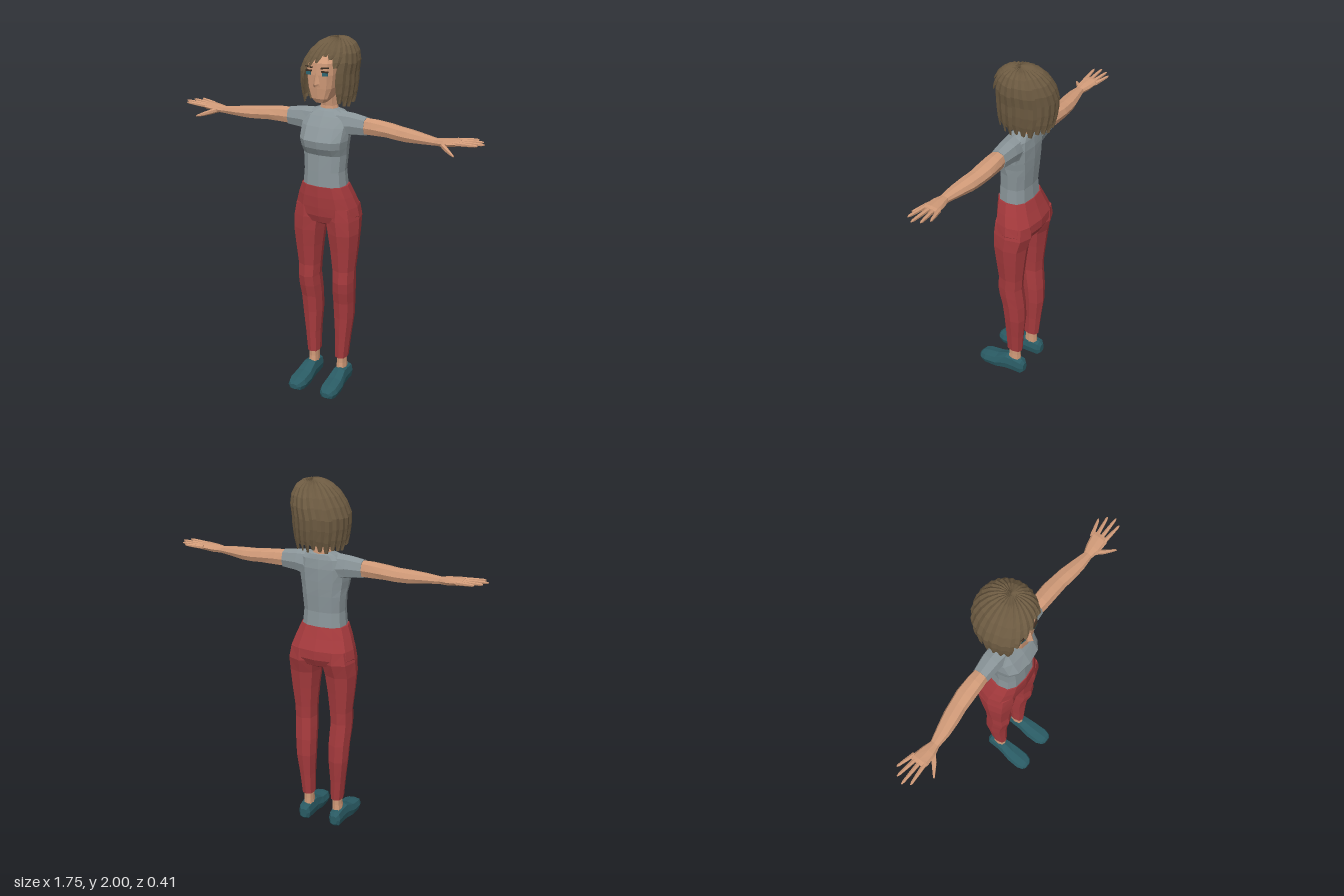
import * as THREE from 'three';

const mat = (name, color, extra = {}) => Object.assign(new THREE.MeshStandardMaterial({ color, ...extra }), { name });
const skin = mat('skin', 0xd09a78);
const shirtGrey = mat('shirtGrey', 0x8a9599);
const trouserRed = mat('trouserRed', 0xa53a3d);
const shoeTeal = mat('shoeTeal', 0x2a5b64);
const hairBrown = mat('hairBrown', 0x6c5a41, { side: THREE.DoubleSide });
const browBrown = mat('browBrown', 0x3a2d22);
const irisTeal = mat('irisTeal', 0x2f6672);

// Faceted geometry from a list of triangles' corner points
function faceted(points) {
  const g = new THREE.BufferGeometry().setFromPoints(points);
  g.computeVertexNormals();
  return g;
}

// Closed tube through sections [s, aMin, aMax, bMin, bMax] along an axis.
// (a, b) is (x, z) along y, (y, z) along x and (x, y) along z.
function loft(sections, { axis = 'y', n = 12, pow = 0.8, side = 1 } = {}) {
  const bulge = v => Math.sign(v) * Math.abs(v) ** pow;
  const place = (s, a, b) => {
    const p = axis === 'y' ? [a, s, b] : axis === 'x' ? [s, a, b] : [a, b, s];
    return new THREE.Vector3(p[0] * side, p[1], p[2]);
  };
  const rings = sections.map(([s, a0, a1, b0, b1]) => Array.from({ length: n }, (_, i) => {
    const t = (i / n) * Math.PI * 2;
    return place(s, (a0 + a1) / 2 + bulge(Math.cos(t)) * (a1 - a0) / 2, (b0 + b1) / 2 + bulge(Math.sin(t)) * (b1 - b0) / 2);
  }));
  const mid = ([s, a0, a1, b0, b1]) => place(s, (a0 + a1) / 2, (b0 + b1) / 2);
  const first = mid(sections[0]), last = mid(sections.at(-1)), end = rings.at(-1);
  const tris = [];
  for (let i = 0; i < n; i++) {
    const k = (i + 1) % n;
    for (let j = 0; j + 1 < rings.length; j++) {
      const p = rings[j], q = rings[j + 1];
      tris.push(p[i], p[k], q[i], q[i], p[k], q[k]);
    }
    tris.push(first, rings[0][k], rings[0][i], last, end[i], end[k]);
  }
  // Turn the faces outward if the enclosed volume is negative
  let volume = 0;
  for (let i = 0; i < tris.length; i += 3) volume += tris[i].dot(tris[i + 1].clone().cross(tris[i + 2]));
  return faceted(volume < 0 ? tris.reverse() : tris);
}

// Open sheet from rows of points
function sheet(rows) {
  const tris = [];
  for (let j = 0; j + 1 < rows.length; j++) {
    for (let i = 0; i + 1 < rows[j].length; i++) {
      const p = rows[j], q = rows[j + 1];
      tris.push(p[i], q[i], p[i + 1], p[i + 1], q[i], q[i + 1]);
    }
  }
  return faceted(tris);
}

// Hair length by angle around the head: 0 is the front, positive is the left
const hairEnds = [[-180, 1.67], [-120, 1.66], [-60, 1.67], [-47, 1.68], [-43, 1.78], [-25, 1.86], [0, 1.92],
  [20, 1.92], [41, 1.87], [46, 1.68], [60, 1.66], [120, 1.66], [180, 1.67]];
function hairEnd(deg) {
  const a = ((deg + 540) % 360) - 180;
  const i = Math.max(1, hairEnds.findIndex(e => e[0] >= a));
  const [p, q] = [hairEnds[i - 1], hairEnds[i]];
  return THREE.MathUtils.lerp(p[1], q[1], (a - p[0]) / (q[0] - p[0]));
}

// Point on the hair, t from the parting (0) to the tip (1)
function hairPoint(deg, t, r, end) {
  const a = THREE.MathUtils.degToRad(deg), H = Math.PI / 2, h = 0.18;
  const u = t * (end < 1.82 ? H + (1.82 - end) / h : Math.acos((end - 1.82) / h));
  const s = r * (u < H ? Math.sin(u) ** 0.85 : 1 - 0.17 * (u - H) ** 2);
  const y = u < H ? 1.82 + h * Math.cos(u) * r : 1.82 - (u - H) * h;
  return new THREE.Vector3(0.15 * s * Math.sin(a) + 0.05 * Math.max(0, Math.cos(u)), y, 0.17 * s * Math.cos(a) - 0.035);
}

export function createModel() {
  const model = new THREE.Group();
  model.name = 'woman';
  const add = (name, geometry, material, parent = model) => {
    const m = new THREE.Mesh(geometry, material);
    m.name = name;
    parent.add(m);
    return m;
  };

  // Shirt body
  add('shirt', loft([
    [1.2, -0.122, 0.122, -0.083, 0.095], [1.3, -0.113, 0.113, -0.075, 0.09], [1.39, -0.12, 0.12, -0.082, 0.085],
    [1.43, -0.125, 0.125, -0.085, 0.11], [1.47, -0.132, 0.132, -0.087, 0.118], [1.54, -0.135, 0.135, -0.088, 0.08],
    [1.59, -0.125, 0.125, -0.082, 0.045], [1.615, -0.085, 0.085, -0.075, 0.025], [1.625, -0.05, 0.05, -0.06, 0.01],
  ], { pow: 0.75 }), shirtGrey);

  // Hips
  add('hips', loft([
    [1.22, -0.13, 0.13, -0.087, 0.1], [1.16, -0.155, 0.155, -0.11, 0.1], [1.1, -0.176, 0.176, -0.135, 0.096],
    [1.05, -0.185, 0.185, -0.135, 0.09], [1.01, -0.165, 0.165, -0.115, 0.075], [0.985, -0.07, 0.07, -0.07, 0.03],
  ]), trouserRed);

  // Neck, head and nose
  add('neck', loft([[1.59, -0.06, 0.06, -0.075, 0.015], [1.64, -0.045, 0.045, -0.07, 0.01], [1.74, -0.045, 0.045, -0.07, 0.03]], { n: 8 }), skin);
  add('head', loft([
    [1.672, -0.028, 0.028, 0.02, 0.084], [1.695, -0.05, 0.05, -0.02, 0.098], [1.75, -0.072, 0.072, -0.1, 0.105],
    [1.82, -0.08, 0.08, -0.13, 0.11], [1.88, -0.082, 0.082, -0.14, 0.105], [1.94, -0.055, 0.055, -0.11, 0.06],
  ], { pow: 0.55 }), skin);
  add('nose', loft([[1.76, -0.02, 0.02, 0.09, 0.122], [1.775, -0.018, 0.018, 0.09, 0.13], [1.835, -0.009, 0.009, 0.09, 0.114]], { n: 4, pow: 1 }), skin);

  // Hair: an inner shell under overlapping pointed locks
  const hair = new THREE.Group();
  hair.name = 'hair';
  model.add(hair);
  const steps = n => Array.from({ length: n + 1 }, (_, i) => i / n);
  add('hairShell', sheet(steps(9).map(t => steps(72).map(f => hairPoint(f * 360, t, 0.93, hairEnd(f * 360) + 0.02)))), hairBrown, hair);
  const locks = 24;
  for (let i = 0; i < locks; i++) {
    const deg = (i + 0.5) * 360 / locks, end = hairEnd(deg) - (i % 3) * 0.008;
    add('hairLock', sheet(steps(8).map(t => {
      const w = 11 * (t > 0.8 ? 1 - (t - 0.8) * 3.2 : 1);
      return [[-w, 0.93], [w * 0.3, 1], [w, 0.97]].map(([d, r]) => hairPoint(deg + d, t, r, end));
    })), hairBrown, hair);
  }

  for (const side of [1, -1]) {
    const label = side > 0 ? 'left' : 'right';
    const limb = (name, sections, material, options = {}) =>
      add(label + name, loft(sections, { side, n: 8, ...options }), material);

    // Eye and brow plates
    const plate = (name, w, h, d, x, y, z, material, tilt = 0) => {
      const m = add(label + name, new THREE.BoxGeometry(w, h, d), material);
      m.position.set(side * x, y, z);
      m.rotation.set(0, side * 0.2, side * tilt);
    };
    plate('EyeLash', 0.036, 0.007, 0.009, 0.045, 1.84, 0.105, browBrown, -0.05);
    plate('Eye', 0.028, 0.018, 0.009, 0.047, 1.828, 0.104, irisTeal);
    plate('Brow', 0.042, 0.006, 0.009, 0.045, 1.859, 0.104, browBrown, 0.1);

    // Sleeve and arm
    limb('Sleeve', [[0.07, 1.47, 1.62, -0.075, 0.045], [0.14, 1.495, 1.615, -0.072, 0.037], [0.225, 1.503, 1.602, -0.06, 0.029]], shirtGrey, { axis: 'x' });
    limb('Arm', [
      [0.2, 1.508, 1.598, -0.055, 0.025], [0.27, 1.51, 1.597, -0.062, 0.03], [0.35, 1.513, 1.588, -0.064, 0.033],
      [0.41, 1.508, 1.58, -0.056, 0.034], [0.47, 1.508, 1.575, -0.048, 0.042], [0.55, 1.515, 1.566, -0.028, 0.047],
      [0.63, 1.52, 1.556, -0.006, 0.042],
    ], skin, { axis: 'x' });

    // Hand with four fingers and a thumb
    limb('Palm', [
      [0.62, 1.52, 1.556, -0.006, 0.042], [0.67, 1.522, 1.562, -0.022, 0.055],
      [0.73, 1.532, 1.566, -0.034, 0.058], [0.75, 1.542, 1.562, -0.03, 0.052],
    ], skin, { axis: 'x' });
    for (const [rootZ, tipX, tipZ] of [[-0.026, 0.82, -0.053], [-0.004, 0.855, -0.022], [0.018, 0.873, 0.018], [0.042, 0.85, 0.054]]) {
      const joint = (f, r) => {
        const x = THREE.MathUtils.lerp(0.72, tipX, f), z = THREE.MathUtils.lerp(rootZ, tipZ, f), y = 1.55 + 0.009 * f;
        return [x, y - r, y + r, z - r, z + r];
      };
      limb('Finger', [joint(0, 0.012), joint(0.55, 0.0095), joint(0.9, 0.007), joint(1, 0.003)], skin, { axis: 'x', n: 6, pow: 1 });
    }
    limb('Thumb', [
      [0.655, 1.522, 1.552, 0.015, 0.05], [0.69, 1.512, 1.54, 0.045, 0.08],
      [0.725, 1.504, 1.526, 0.078, 0.1], [0.752, 1.504, 1.512, 0.104, 0.115],
    ], skin, { axis: 'x', n: 6, pow: 1 });

    // Trouser leg
    limb('TrouserLeg', [
      [1.1, 0.02, 0.17, -0.125, 0.085], [1.03, 0.006, 0.186, -0.13, 0.088], [0.95, 0.018, 0.189, -0.105, 0.084],
      [0.85, 0.032, 0.18, -0.093, 0.072], [0.73, 0.044, 0.166, -0.08, 0.06], [0.66, 0.048, 0.165, -0.077, 0.066],
      [0.6, 0.044, 0.163, -0.083, 0.058], [0.53, 0.042, 0.158, -0.09, 0.042], [0.43, 0.044, 0.152, -0.092, 0.032],
      [0.3, 0.053, 0.135, -0.078, 0.028], [0.175, 0.055, 0.122, -0.068, 0.026],
    ], trouserRed);

    // Ankle and shoe
    limb('Ankle', [[0.2, 0.064, 0.114, -0.056, 0.016], [0.14, 0.064, 0.114, -0.056, 0.016], [0.08, 0.062, 0.118, -0.06, 0.025]], skin);
    limb('Shoe', [
      [-0.091, 0.075, 0.115, 0.03, 0.085], [-0.075, 0.06, 0.13, 0.014, 0.106], [-0.02, 0.056, 0.133, 0.012, 0.114],
      [0.025, 0.054, 0.138, 0.01, 0.116], [0.09, 0.046, 0.15, 0, 0.086], [0.16, 0.047, 0.153, 0, 0.072],
      [0.192, 0.06, 0.143, 0.006, 0.062], [0.206, 0.08, 0.125, 0.018, 0.048],
    ], shoeTeal, { axis: 'z', pow: 0.65 });
  }
  return model;
}
